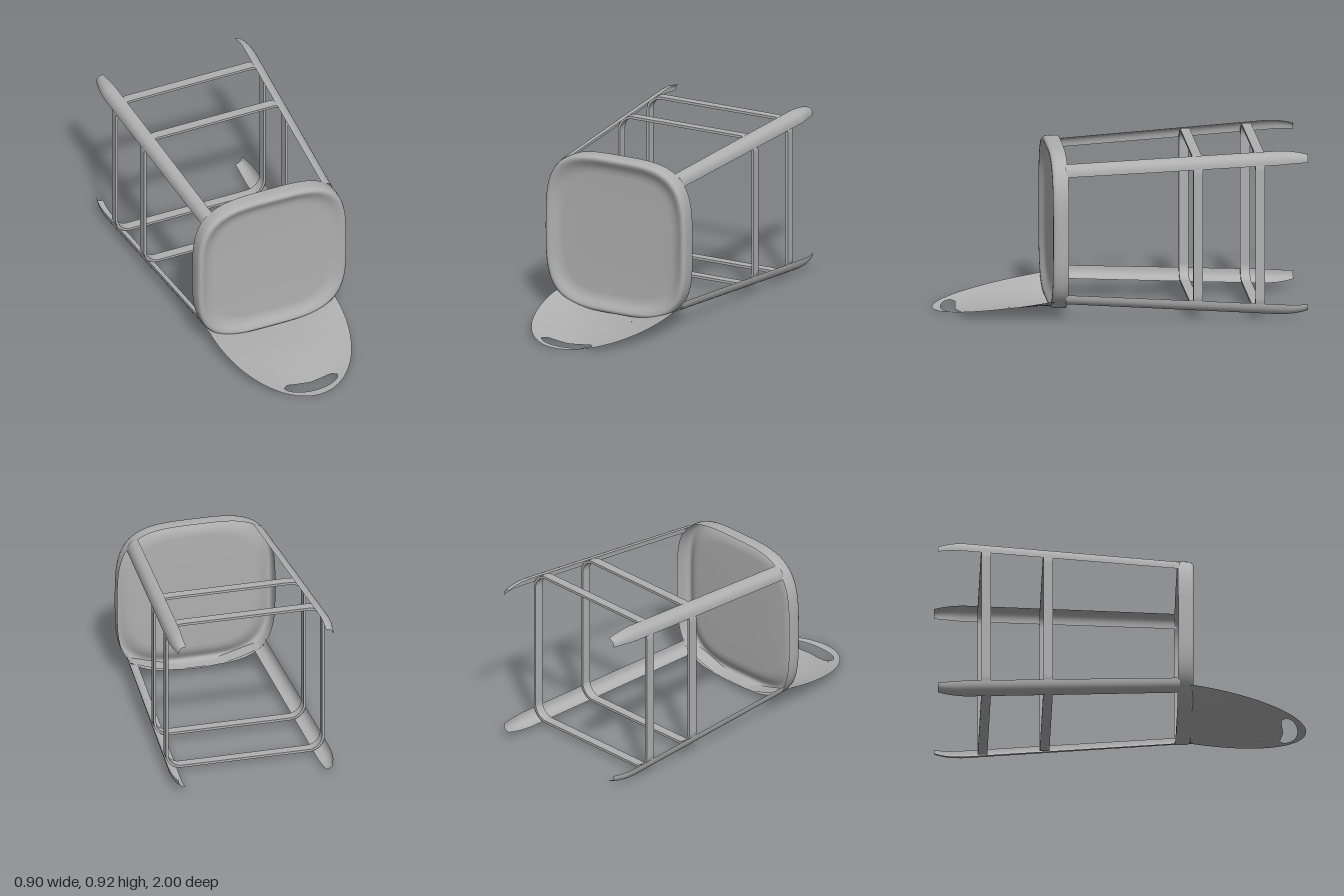
import * as THREE from 'three';
import { mergeVertices } from 'three/addons/utils/BufferGeometryUtils.js';

const MID = 0.47; // height of the seat centre
const lerp = THREE.MathUtils.lerp;

// Sheet of nu x nv cells from a rule point(u, v) -> [x, y, z]
function sheet(nu, nv, point) {
  const pos = [], index = [];
  for (let j = 0; j <= nv; j++)
    for (let i = 0; i <= nu; i++) pos.push(...point(i / nu, j / nv));
  for (let j = 0; j < nv; j++)
    for (let i = 0; i < nu; i++) {
      const a = j * (nu + 1) + i, b = a + nu + 1;
      index.push(a, a + 1, b, a + 1, b + 1, b);
    }
  let g = new THREE.BufferGeometry();
  g.setAttribute('position', new THREE.Float32BufferAttribute(pos, 3));
  g.setIndex(index);
  g = mergeVertices(g, 1e-5);
  g.computeVertexNormals();
  return g;
}

// Linear interpolation through rows whose first entry is the descending or ascending key
function sample(rows, key) {
  const dir = Math.sign(rows[rows.length - 1][0] - rows[0][0]);
  for (let i = 1; i < rows.length; i++) {
    const a = rows[i - 1], b = rows[i];
    if ((b[0] - key) * dir >= 0 || i === rows.length - 1) {
      const t = THREE.MathUtils.clamp((key - a[0]) / (b[0] - a[0]), 0, 1);
      return a.map((v, k) => lerp(v, b[k], t));
    }
  }
}

function roundedSquare(target, h, r) {
  target.moveTo(h - r, -h);
  target.absarc(h - r, -h + r, r, -Math.PI / 2, 0);
  target.absarc(h - r, h - r, r, 0, Math.PI / 2);
  target.absarc(-h + r, h - r, r, Math.PI / 2, Math.PI);
  target.absarc(-h + r, -h + r, r, Math.PI, Math.PI * 1.5);
  target.closePath();
  return target;
}

export function createModel() {
  const model = new THREE.Group();
  const metal = new THREE.MeshStandardMaterial({ color: 0xb0b0b0, side: THREE.DoubleSide });
  metal.name = 'grey metal';
  const add = (name, geometry, parent = model) => {
    const mesh = new THREE.Mesh(geometry, metal);
    mesh.name = name;
    parent.add(mesh);
    return mesh;
  };

  // Seat pan: flange, rolled rim and shallow dish as scaled superellipse rings
  const profile = [
    [1, 0.298], [1.003, 0.33], [1, 0.36], [0.99, 0.374], [0.972, 0.382], [0.945, 0.382],
    [0.91, 0.374], [0.87, 0.363], [0.82, 0.355], [0.76, 0.352], [0.4, 0.35], [0.001, 0.35],
  ];
  const power = (v) => Math.sign(v) * Math.abs(v) ** (2 / 3.6);
  add('seat', sheet(96, profile.length - 1, (u, v) => {
    const [s, z] = profile[Math.round(v * (profile.length - 1))];
    const a = (u === 1 ? 0 : u) * Math.PI * 2;
    return [0.44 * s * power(Math.cos(a)), MID + 0.44 * s * power(Math.sin(a)), z];
  }));

  // Backrest: curved tongue with a crescent hand hole, in four patches
  const W = 0.375, HOLE = 0.156;
  const spine = [[0.3, 0.022], [0.45, 0.028], [0.6, 0.026], [0.75, 0.015], [0.88, 0.002], [1, 0.008]];
  const tip = (x) => 0.38 + 0.62 * Math.sqrt(Math.max(0, 1 - (x / W) ** 2));
  const halfWidth = (z) => W * Math.sqrt(Math.max(0.0004, 1 - (Math.max(0, z - 0.38) / 0.62) ** 2));
  const holeEnd = (x) => Math.sqrt(Math.max(0, 1 - (x / HOLE) ** 2));
  const holeTop = (x) => 0.885 - 0.022 * Math.abs(x / HOLE) - 0.008 * holeEnd(x)
    + 0.022 * Math.max(0, Math.abs(x / HOLE) - 0.85) / 0.15;
  const holeBottom = (x) => 0.885 + 0.068 * holeEnd(x);
  const start = () => 0.3;
  const patch = (x0, x1, zA, zB, rows) => sheet(24, rows, (u, v) => {
    const x = lerp(x0, x1, (1 - Math.cos(u * Math.PI)) / 2);
    const z = lerp(zA(x), zB(x), v);
    const yc = sample(spine, z)[1];
    const ye = lerp(0.108, 0.008, Math.max(0, z - 0.38) / 0.62);
    return [x, yc + (ye - yc) * Math.min(1, Math.abs(x) / halfWidth(z)) ** 2, z];
  });
  const backrest = new THREE.Group();
  backrest.name = 'backrest';
  model.add(backrest);
  add('backrestPanel', patch(-HOLE, HOLE, start, holeTop, 16), backrest);
  add('backrestTip', patch(-HOLE, HOLE, holeBottom, tip, 4), backrest);
  add('backrestRightSide', patch(-W, -HOLE, start, tip, 18), backrest);
  add('backrestLeftSide', patch(HOLE, W, start, tip, 18), backrest);

  // Legs: splayed channel sheets, narrowing and turning in at the feet
  // [z, offset from axis, half width, bulge]
  const stations = [
    [0.31, 0.355, 0.043, 0.02], [-0.3, 0.388, 0.045, 0.022], [-0.85, 0.418, 0.046, 0.023],
    [-0.91, 0.419, 0.041, 0.021], [-0.96, 0.416, 0.035, 0.018], [-1, 0.41, 0.028, 0.015],
  ];
  for (const sx of [-1, 1])
    for (const sy of [-1, 1]) {
      const name = (sy > 0 ? 'front' : 'rear') + (sx > 0 ? 'Left' : 'Right') + 'Leg';
      add(name, sheet(8, stations.length - 1, (u, v) => {
        const [z, c, w, s] = stations[Math.round(v * (stations.length - 1))];
        const t = u * 2 - 1, d = Math.SQRT1_2;
        const out = c + s * d * (1 - t * t);
        return [sx * (out - t * w * d), MID + sy * (out + t * w * d), z];
      }));
    }

  // Rungs: flat bar bent into a rounded square, tucked inside the legs
  for (const [name, z, h] of [['upperRungs', -0.43, 0.425], ['lowerRungs', -0.765, 0.443]]) {
    const shape = roundedSquare(new THREE.Shape(), h, 0.09);
    shape.holes.push(roundedSquare(new THREE.Path(), h - 0.014, 0.076));
    const bar = new THREE.ExtrudeGeometry(shape, { depth: 0.052, bevelEnabled: false, curveSegments: 8 });
    add(name, bar).position.set(0, MID, z);
  }

  return model;
}
